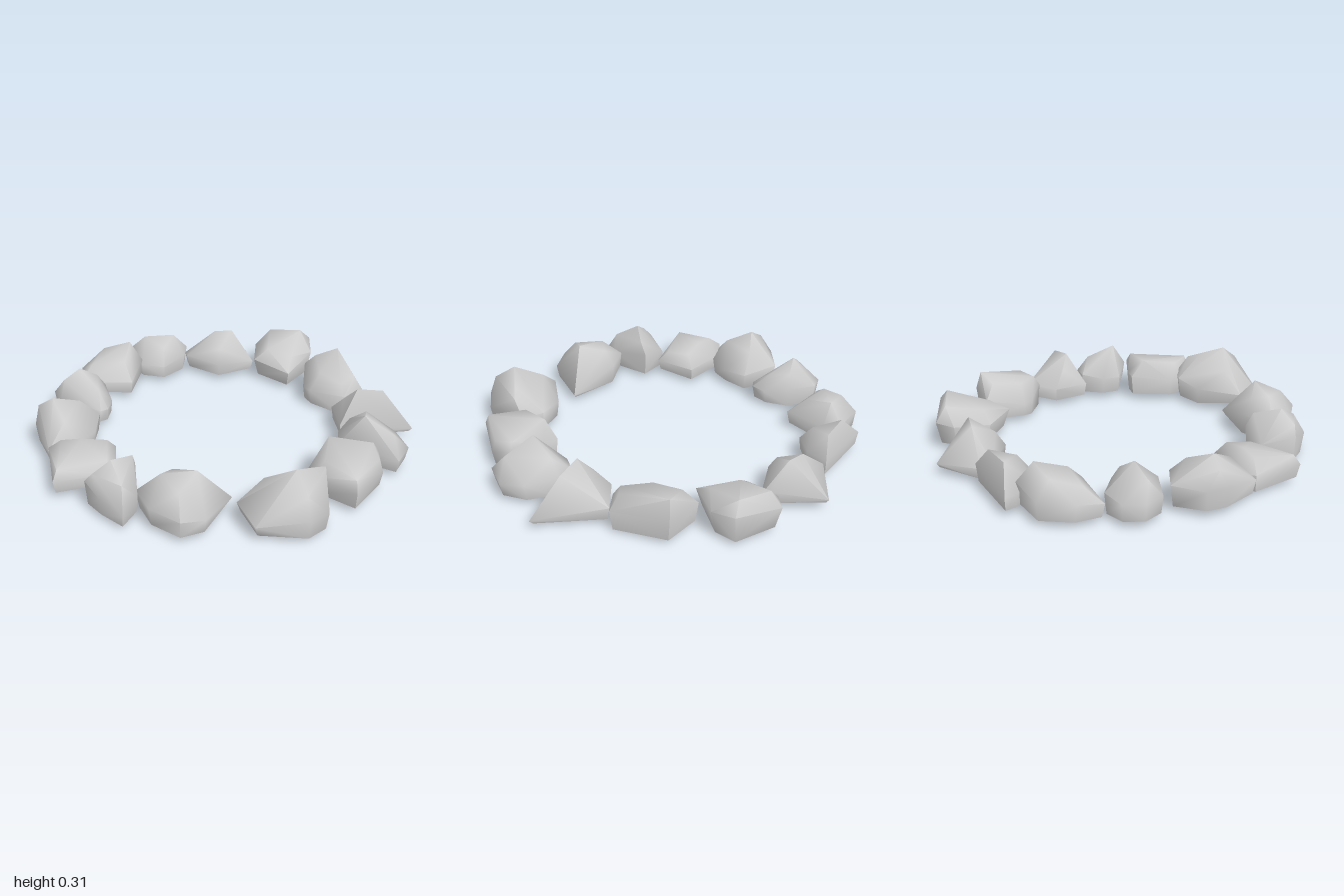
import * as THREE from 'three';
import { ConvexGeometry } from 'three/addons/geometries/ConvexGeometry.js';
import { toCreasedNormals } from 'three/addons/utils/BufferGeometryUtils.js';

export function createModel() {
  const ring = new THREE.Group();
  ring.name = 'stoneRing';
  const stoneGrey = new THREE.MeshStandardMaterial({ color: 0xcccccc, side: THREE.DoubleSide });
  stoneGrey.name = 'stoneGrey';

  // The convex skin around the points, left open underneath
  function openShell(points) {
    const hull = new ConvexGeometry(points);
    const { position, normal } = hull.attributes;
    const kept = [];
    for (let i = 0; i < position.count; i += 3) {
      if (normal.getY(i) < -0.85) continue;
      for (let k = i; k < i + 3; k++) kept.push(position.getX(k), position.getY(k), position.getZ(k));
    }
    const shell = new THREE.BufferGeometry();
    shell.setAttribute('position', new THREE.Float32BufferAttribute(kept, 3));
    return toCreasedNormals(shell, 1.2);
  }

  // One hollow boulder: a widest belt of [x, y, z, rim height] corners,
  // crown points above it, and a narrower rim near the ground.
  function stone(name, belt, crown, rimScale = 0.93) {
    const cx = belt.reduce((s, p) => s + p[0], 0) / belt.length;
    const cz = belt.reduce((s, p) => s + p[2], 0) / belt.length;
    const points = [...belt, ...crown].map(([x, y, z]) => new THREE.Vector3(x, y, z));
    for (const [x, , z, rim = 0.03] of belt) {
      points.push(new THREE.Vector3(cx + (x - cx) * rimScale, rim, cz + (z - cz) * rimScale));
    }
    const mesh = new THREE.Mesh(openShell(points), stoneGrey);
    mesh.name = name;
    ring.add(mesh);
  }

  // Front stones
  stone('frontLeftStone',
    [[-0.01, 0.11, 0.79, 0.06], [0.17, 0.12, 0.61], [0.33, 0.14, 0.58], [0.44, 0.14, 0.63], [0.41, 0.1, 0.9, 0.01], [0.31, 0.12, 0.99, 0.02], [0.06, 0.08, 0.96]],
    [[0.26, 0.31, 0.84], [0.42, 0.23, 0.7], [0.36, 0.26, 0.75], [0.12, 0.22, 0.76], [0.3, 0.23, 0.95]]);
  stone('frontRightStone',
    [[-0.48, 0.12, 0.67], [-0.3, 0.14, 0.59], [-0.02, 0.05, 0.66], [-0.16, 0.1, 0.91], [-0.28, 0.12, 0.95], [-0.42, 0.12, 0.83]],
    [[-0.19, 0.27, 0.75], [-0.36, 0.24, 0.72], [-0.3, 0.22, 0.65], [-0.28, 0.22, 0.86]]);
  stone('frontRightSmallStone',
    [[-0.64, 0.12, 0.48], [-0.48, 0.16, 0.49], [-0.47, 0.12, 0.72], [-0.54, 0.08, 0.83, 0.02], [-0.65, 0.12, 0.73], [-0.72, 0.16, 0.63]],
    [[-0.59, 0.27, 0.63], [-0.49, 0.23, 0.53], [-0.68, 0.21, 0.65], [-0.54, 0.2, 0.75]]);
  stone('frontLeftInnerStone',
    [[0.48, 0.14, 0.35], [0.57, 0.14, 0.37], [0.73, 0.15, 0.45], [0.73, 0.1, 0.58], [0.56, 0.12, 0.79], [0.37, 0.12, 0.62], [0.36, 0.12, 0.55]],
    [[0.48, 0.23, 0.43], [0.7, 0.2, 0.46], [0.71, 0.17, 0.57], [0.56, 0.18, 0.76], [0.43, 0.2, 0.61]]);

  // Stones on the right-hand side
  stone('rightFrontStone',
    [[-0.8, 0.1, 0.2], [-0.58, 0.1, 0.23], [-0.58, 0.09, 0.47], [-0.88, 0.1, 0.54], [-0.92, 0.12, 0.25]],
    [[-0.85, 0.18, 0.28], [-0.75, 0.19, 0.29], [-0.62, 0.17, 0.28], [-0.62, 0.14, 0.43], [-0.86, 0.15, 0.51]]);
  stone('rightMiddleStone',
    [[-0.85, 0.14, -0.18], [-0.67, 0.12, -0.08], [-0.69, 0.1, 0.07], [-0.77, 0.1, 0.2, 0.01], [-0.92, 0.1, 0.25], [-1, 0.14, 0.04, 0.04], [-0.99, 0.14, -0.07, 0.04]],
    [[-0.9, 0.28, 0.02], [-0.98, 0.23, 0], [-0.77, 0.22, -0.05], [-0.84, 0.21, 0.15]]);
  stone('rightRearStone',
    [[-0.88, 0.12, -0.45], [-0.77, 0.14, -0.48], [-0.65, 0.14, -0.38], [-0.61, 0.1, -0.25], [-0.63, 0.1, -0.16], [-0.67, 0.1, -0.14], [-0.89, 0.12, -0.24], [-0.93, 0.12, -0.35]],
    [[-0.78, 0.27, -0.33], [-0.87, 0.21, -0.31], [-0.69, 0.21, -0.36], [-0.68, 0.18, -0.24]]);

  // Rear stones
  stone('rearRightStone',
    [[-0.69, 0.12, -0.78], [-0.48, 0.14, -0.79], [-0.44, 0.12, -0.71], [-0.5, 0.1, -0.46], [-0.8, 0.1, -0.49], [-0.79, 0.12, -0.63]],
    [[-0.51, 0.24, -0.71], [-0.66, 0.21, -0.7], [-0.54, 0.19, -0.55], [-0.73, 0.17, -0.56]]);
  stone('rearRightSmallStone',
    [[-0.54, 0.1, -0.87], [-0.17, 0.12, -0.87], [-0.19, 0.12, -0.75], [-0.31, 0.1, -0.64], [-0.44, 0.1, -0.68], [-0.53, 0.1, -0.81]],
    [[-0.25, 0.22, -0.83], [-0.42, 0.22, -0.82], [-0.31, 0.19, -0.71]]);
  stone('rearMiddleStone',
    [[0.04, 0.06, -1, 0.04], [0.2, 0.1, -0.76], [0.22, 0.08, -0.72], [0.01, 0.1, -0.64], [-0.17, 0.1, -0.78], [-0.18, 0.09, -0.85]],
    [[0.1, 0.25, -0.8], [0, 0.24, -0.82], [0.02, 0.18, -0.69]]);
  stone('rearLeftStone',
    [[0.33, 0.15, -0.9], [0.57, 0.19, -0.79], [0.56, 0.16, -0.65], [0.4, 0.12, -0.46], [0.22, 0.13, -0.64], [0.25, 0.14, -0.83]],
    [[0.51, 0.25, -0.77], [0.34, 0.23, -0.84], [0.3, 0.19, -0.65], [0.43, 0.18, -0.56]], 0.85);

  // Stones on the left-hand side
  stone('leftRearStone',
    [[0.51, 0.14, -0.55], [0.72, 0.15, -0.53], [0.79, 0.12, -0.23, 0.01], [0.67, 0.12, -0.16, 0], [0.5, 0.1, -0.28, 0.02], [0.47, 0.1, -0.34]],
    [[0.69, 0.25, -0.51], [0.56, 0.22, -0.49], [0.74, 0.2, -0.25], [0.66, 0.18, -0.2], [0.56, 0.19, -0.32]]);
  stone('leftMiddleStone',
    [[0.75, 0.1, -0.2], [1, 0.05, 0.09], [0.6, 0.1, 0.11], [0.59, 0.1, -0.09]],
    [[0.7, 0.27, 0.03], [0.84, 0.25, 0.02], [0.64, 0.19, -0.02]]);
  stone('leftFrontStone',
    [[0.65, 0.14, 0.11], [0.74, 0.14, 0.12], [0.87, 0.12, 0.23], [0.91, 0.1, 0.36], [0.83, 0.1, 0.49], [0.56, 0.12, 0.31], [0.57, 0.12, 0.21]],
    [[0.68, 0.28, 0.33], [0.82, 0.2, 0.4], [0.72, 0.22, 0.18]]);

  return ring;
}
